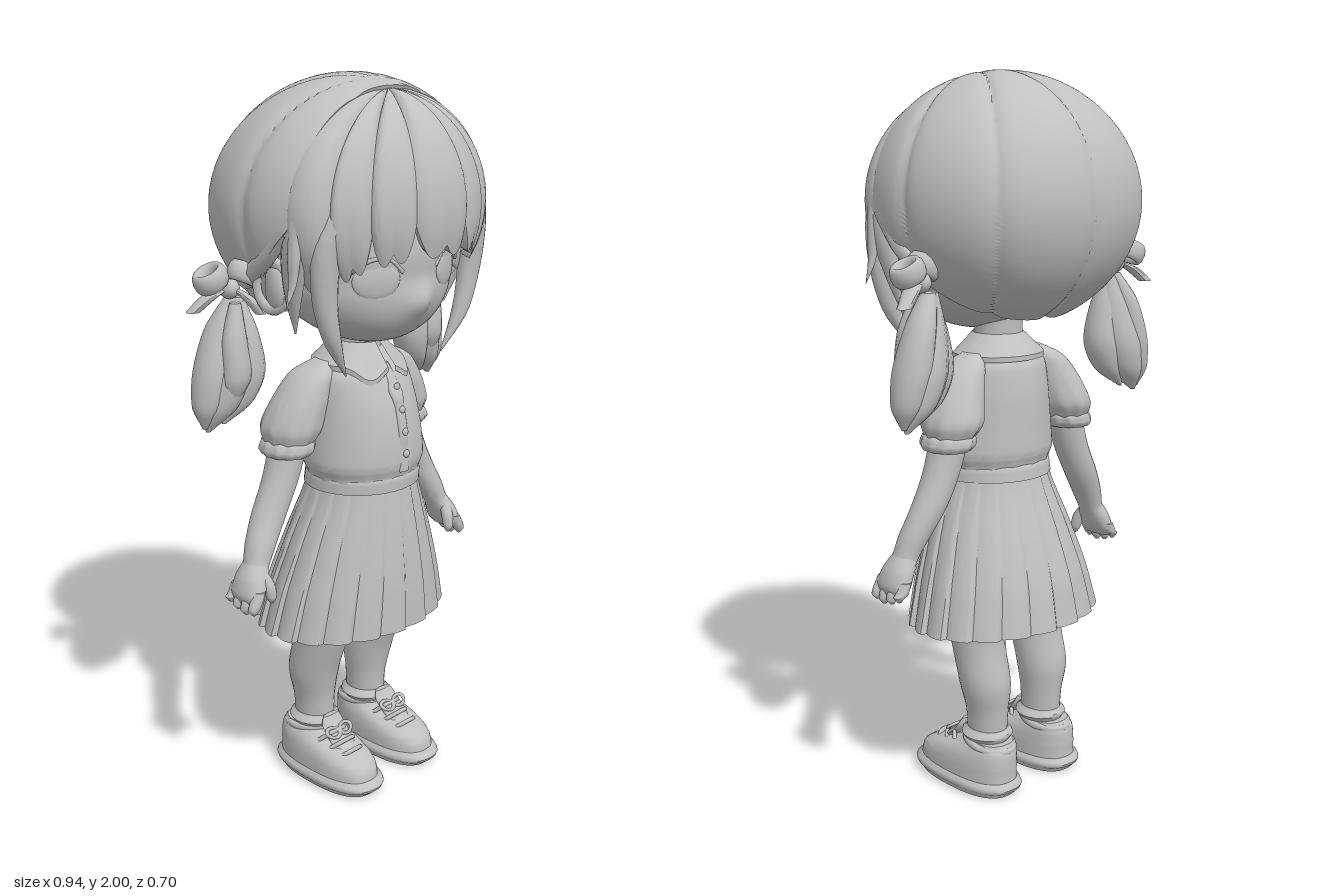
import * as THREE from 'three';
import { mergeVertices, toCreasedNormals } from 'three/addons/utils/BufferGeometryUtils.js';

const clay = new THREE.MeshStandardMaterial({ color: 0xc0c0c0, side: THREE.DoubleSide });
clay.name = 'clay grey';

const mesh = (name, geo, parent) => {
  const m = new THREE.Mesh(geo, clay);
  m.name = name;
  parent.add(m);
  return m;
};

// Surface from a rule (u, v) -> [x, y, z]
function grid(nu, nv, fn, crease = 0.8) {
  const pos = [], idx = [];
  for (let j = 0; j <= nv; j++) for (let i = 0; i <= nu; i++) pos.push(...fn(i / nu, j / nv));
  for (let j = 0; j < nv; j++) for (let i = 0; i < nu; i++) {
    const a = j * (nu + 1) + i, b = a + nu + 1;
    idx.push(a, b, a + 1, a + 1, b, b + 1);
  }
  const g = new THREE.BufferGeometry();
  g.setAttribute('position', new THREE.Float32BufferAttribute(pos, 3));
  g.setIndex(idx);
  return toCreasedNormals(mergeVertices(g, 1e-5), crease);
}

// Level oval rings [x, y, z, rx, rz] listed from top to bottom, smoothed and capped
function loft(st, { seg = 20, rows = 18, mod = () => 1, cap = true } = {}) {
  const c = new THREE.CatmullRomCurve3(st.map(s => new THREE.Vector3(s[0], s[1], s[2])));
  const r = new THREE.CatmullRomCurve3(st.map(s => new THREE.Vector3(s[3], s[4], 0)));
  return grid(seg, rows + 2, (u, v) => {
    const j = Math.round(v * (rows + 2)) - 1;
    const t = Math.min(1, Math.max(0, j / rows)), a = u * Math.PI * 2;
    const p = c.getPoint(t), q = r.getPoint(t);
    const k = cap && (j < 0 || j > rows) ? 0 : mod(a, t);
    return [p.x + Math.max(0, q.x) * k * Math.sin(a), p.y, p.z + Math.max(0, q.y) * k * Math.cos(a)];
  });
}

function ball(name, parent, [x, y, z], [a, b, c], ry = 0) {
  const m = mesh(name, new THREE.SphereGeometry(1, 20, 14), parent);
  m.position.set(x, y, z);
  m.scale.set(a, b, c);
  m.rotation.y = ry;
  return m;
}

const tube = (name, parent, pts, r) => mesh(name, new THREE.TubeGeometry(
  new THREE.CatmullRomCurve3(pts.map(p => new THREE.Vector3(...p))), 16, r, 6), parent);

// Fringe locks: angles at which neighbouring locks meet
const partings = [-1.72, -1.15, -0.74, -0.3, 0.3, 0.74, 1.15, 1.72];

function addHead(g) {
  // Face with a forward chin and a small nose
  mesh('face', grid(64, 48, (u, v) => {
    const a = u * Math.PI * 2, t = v * Math.PI;
    const x = 0.29 * Math.sin(t) * Math.sin(a), y = 1.555 + 0.245 * Math.cos(t);
    let z = 0.02 + 0.235 * Math.sin(t) * Math.cos(a);
    z += 0.07 * Math.min(1, Math.max(0, (1.5 - y) / 0.18));
    if (z > 0) z += 0.024 * Math.exp(-((x / 0.04) ** 2) - ((y - 1.435) / 0.04) ** 2);
    return [x, y, z];
  }), g);
  mesh('neck', loft([[0, 1.4, 0.02, 0.075, 0.07], [0, 1.32, 0.02, 0.068, 0.065], [0, 1.24, 0.02, 0.075, 0.07]]), g);

  // Back hair, full at the rear corners, grooved from the crown and cut along the hairline
  mesh('backHair', grid(180, 72, (u, v) => {
    const psi = u * Math.PI * 2, c = Math.cos(psi);
    const hairline = c > 0 ? 0.14 : 0.14 + 0.3 * c;
    const th = Math.min(1, v * 73 / 72) * Math.acos(-hairline / 0.35);
    const x = 0.37 * Math.sin(th) * Math.sin(psi), y = 0.34 * Math.sin(th) * c, z = -0.35 * Math.cos(th);
    const d = Math.hypot(x, z - 0.1), a = Math.atan2(x, z - 0.1);
    const groove = (1 - Math.abs(Math.sin(a * 5))) ** 3.5 * Math.min(1, d / 0.2);
    const full = z < 0 ? 0.65 * (x * z / 0.1295) ** 2 : 0;
    const k = v === 1 ? 0.8 : 1.006 - 0.032 * groove + 0.25 * full;
    return [x * k, 1.66 + y * k, z * k];
  }), g);

  // Fringe of broad rounded locks with a jagged hem
  mesh('fringe', grid(196, 30, (u, v) => {
    const i = Math.min(6, Math.floor(u * 7)), f = u * 7 - i;
    const a = partings[i] + (partings[i + 1] - partings[i]) * f;
    const w = Math.sin(f * Math.PI), split = Math.abs(Math.sin(f * Math.PI * 2));
    const side = Math.min(1, Math.abs(a) / 1.5) ** 2;
    const end = 1.6 + 0.46 * side + 0.2 * w ** 0.7 + 0.14 * split;
    const phi = Math.min(1, v * 30 / 29) * end;
    const k = v === 1 ? 0.82 : (0.965 + 0.055 * (1 - (1 - w) ** 2.5) - 0.035 * v ** 6) * (1 - 0.09 * Math.sin(2 * a) ** 2 * Math.sin(phi));
    return [0.342 * k * Math.sin(phi) * Math.sin(a), 1.66 + 0.3 * k * Math.cos(phi),
      0.13 + 0.217 * k * Math.sin(phi) * Math.cos(a)];
  }), g);
}

function addHeadSide(g) {
  // Eye, lid and brow
  ball('eye', g, [0.13, 1.505, 0.218], [0.066, 0.052, 0.013], 0.42);
  tube('upperLid', g, [[0.062, 1.52, 0.246], [0.1, 1.555, 0.238], [0.15, 1.558, 0.221], [0.195, 1.53, 0.196], [0.21, 1.515, 0.186]], 0.006);
  tube('brow', g, [[0.08, 1.602, 0.241], [0.13, 1.615, 0.224], [0.18, 1.6, 0.197]], 0.005);
  // Ear
  ball('ear', g, [0.295, 1.485, 0.03], [0.03, 0.07, 0.048], 0.4);
  const rim = mesh('earRim', new THREE.TorusGeometry(0.045, 0.012, 8, 24), g);
  rim.position.set(0.312, 1.49, 0.03);
  rim.rotation.y = 1.25;
  rim.scale.y = 1.35;
  // Locks framing the face
  const locks = [
    [[0.2, 1.78, 0.235, 0.02, 0.02], [0.268, 1.62, 0.195, 0.045, 0.034], [0.275, 1.48, 0.182, 0.038, 0.028], [0.245, 1.36, 0.178, 0.026, 0.022], [0.185, 1.255, 0.165, 0.002, 0.002]],
    [[0.32, 1.72, 0.14, 0.02, 0.03], [0.318, 1.58, 0.12, 0.028, 0.04], [0.305, 1.47, 0.1, 0.018, 0.026], [0.285, 1.37, 0.085, 0.002, 0.002]],
    [[0.325, 1.7, 0.14, 0.02, 0.02], [0.338, 1.58, 0.14, 0.016, 0.018], [0.345, 1.51, 0.14, 0.009, 0.012], [0.365, 1.455, 0.14, 0.001, 0.001]],
  ];
  locks.forEach(l => mesh('faceLock', loft(l, { seg: 12 }), g));
  // Hair drawn back to the tie
  tube('sweptStrand', g, [[0.335, 1.64, 0.1], [0.338, 1.56, 0.03], [0.325, 1.49, -0.06]], 0.024);
  // Bunch
  const bunch = [
    [[0.335, 1.45, -0.085, 0.02, 0.02], [0.35, 1.36, -0.085, 0.05, 0.05], [0.37, 1.25, -0.09, 0.066, 0.068], [0.395, 1.165, -0.095, 0.054, 0.053], [0.43, 1.1, -0.1, 0.006, 0.006]],
    [[0.345, 1.45, -0.09, 0.02, 0.02], [0.38, 1.37, -0.1, 0.038, 0.045], [0.41, 1.26, -0.1, 0.048, 0.056], [0.43, 1.17, -0.1, 0.04, 0.043], [0.44, 1.11, -0.1, 0.006, 0.006]],
    [[0.335, 1.44, -0.08, 0.02, 0.02], [0.325, 1.35, -0.075, 0.042, 0.045], [0.322, 1.25, -0.075, 0.055, 0.056], [0.342, 1.17, -0.08, 0.04, 0.04], [0.385, 1.115, -0.09, 0.005, 0.005]],
    [[0.36, 1.44, -0.06, 0.015, 0.015], [0.375, 1.35, -0.05, 0.034, 0.03], [0.375, 1.25, -0.045, 0.042, 0.034], [0.385, 1.16, -0.06, 0.004, 0.004]],
  ];
  bunch.forEach(l => mesh('bunchLock', loft(l, { seg: 14 }), g));
  // Bow: plump loops open upward, with two tails
  ball('bowKnot', g, [0.362, 1.475, -0.08], [0.026, 0.027, 0.03]);
  for (const [x, y, z, tilt] of [[0.412, 1.505, -0.092, -0.45], [0.33, 1.512, -0.055, 0.45]]) {
    const loop = mesh('bowLoop', new THREE.TorusGeometry(0.031, 0.012, 10, 24), g);
    loop.position.set(x, y, z);
    loop.rotation.set(Math.PI / 2, tilt, 0);
    loop.scale.set(1.15, 1, 2.3);
  }
  mesh('bowTail', loft([[0.365, 1.48, -0.08, 0.01, 0.012], [0.41, 1.458, -0.1, 0.02, 0.024], [0.45, 1.42, -0.12, 0.02, 0.018]], { seg: 10, rows: 8 }), g);
  mesh('bowTail', loft([[0.36, 1.48, -0.07, 0.01, 0.012], [0.335, 1.45, -0.035, 0.016, 0.02], [0.31, 1.41, -0.02, 0.014, 0.016]], { seg: 10, rows: 8 }), g);
}

function addClothes(g) {
  // Blouse with a gathered hem
  mesh('blouse', loft([[0, 1.29, 0.02, 0.06, 0.06], [0, 1.265, 0.02, 0.095, 0.08], [0, 1.22, 0.028, 0.145, 0.122], [0, 1.14, 0.038, 0.158, 0.146],
    [0, 1.05, 0.045, 0.17, 0.157], [0, 0.98, 0.046, 0.177, 0.16], [0, 0.945, 0.046, 0.166, 0.15], [0, 0.925, 0.046, 0.162, 0.15]],
  { seg: 96, rows: 36, mod: (a, t) => 1 + 0.015 * Math.sin(a * 16) * Math.max(0, t - 0.7) * 3 }), g);
  mesh('placket', loft([[0, 1.25, 0.125, 0.014, 0.008], [0, 1.2, 0.157, 0.017, 0.008], [0, 1.14, 0.182, 0.017, 0.008],
    [0, 1.05, 0.2, 0.017, 0.007], [0, 0.96, 0.203, 0.017, 0.007]]), g);
  [[1.19, 0.17], [1.13, 0.191], [1.07, 0.203], [1.01, 0.209]].forEach(([y, z]) => ball('button', g, [0.003, y, z], [0.011, 0.011, 0.006]));

  // Pleated skirt with broad pleats, open below
  const pleat = a => { const f = (a * 20 / (Math.PI * 2)) % 1; return f < 0.88 ? Math.sin((0.25 + f / 0.88 * 0.75) * Math.PI / 2) : 1 - 0.62 * (f - 0.88) / 0.12; };
  mesh('skirt', loft([[0, 0.95, 0.045, 0.152, 0.142], [0, 0.88, 0.04, 0.172, 0.156], [0, 0.76, 0.026, 0.22, 0.185],
    [0, 0.62, 0.01, 0.27, 0.213], [0, 0.495, 0, 0.305, 0.226]],
  { seg: 320, rows: 14, cap: false, mod: (a, t) => 0.99 + (0.02 + 0.06 * t) * (pleat(a) - 0.8) }), g);
  mesh('waistband', loft([[0, 0.955, 0.045, 0.15, 0.14], [0, 0.94, 0.045, 0.165, 0.154], [0, 0.905, 0.042, 0.168, 0.156]], { seg: 40, rows: 6 }), g);
  mesh('shortsTop', loft([[0, 0.92, 0.03, 0.14, 0.12], [0, 0.78, 0.01, 0.175, 0.13], [0, 0.66, 0, 0.17, 0.12], [0, 0.62, 0, 0.12, 0.09]], { seg: 32 }), g);
}

function addBodySide(g) {
  // Collar flap, pointed at the front
  mesh('collar', grid(40, 8, (u, v) => {
    const a = 0.1 + u * (Math.PI - 0.1), tip = Math.exp(-(((a - 0.5) / 0.3) ** 2));
    const q = Math.min(1, v * 8 / 7), r = q * (1 + 0.25 * tip);
    return [(0.07 + 0.06 * r) * Math.sin(a), 1.305 - 0.055 * r - 0.02 * q * tip - (v === 1 ? 0.014 : 0),
      0.02 + (0.072 + 0.052 * r + 0.008 * Math.cos(a)) * Math.cos(a)];
  }, 0.6), g);

  // Puffed sleeve and gathered cuff
  mesh('sleeve', loft([[0.115, 1.258, 0.005, 0.025, 0.03], [0.15, 1.225, 0, 0.055, 0.065], [0.185, 1.155, -0.01, 0.074, 0.082],
    [0.208, 1.09, -0.02, 0.08, 0.09], [0.22, 1.045, -0.02, 0.062, 0.072]],
  { seg: 60, mod: (a, t) => 1 + 0.06 * Math.sin(a * 10) * Math.max(0, t - 0.45) }), g);
  mesh('cuff', loft([[0.218, 1.06, -0.02, 0.055, 0.065], [0.221, 1.048, -0.02, 0.068, 0.078], [0.226, 1.03, -0.02, 0.07, 0.081],
    [0.23, 1.014, -0.02, 0.06, 0.07]], { seg: 60, rows: 8, mod: a => 1 + 0.03 * Math.sin(a * 12) }), g);

  // Arm and hand
  mesh('arm', loft([[0.215, 1.06, -0.02, 0.052, 0.055], [0.25, 0.95, -0.02, 0.052, 0.05], [0.295, 0.86, -0.018, 0.052, 0.046],
    [0.335, 0.79, -0.008, 0.046, 0.042], [0.362, 0.735, 0, 0.036, 0.038], [0.375, 0.71, 0.002, 0.034, 0.042]]), g);
  mesh('palm', loft([[0.362, 0.745, 0, 0.032, 0.034], [0.382, 0.705, 0.004, 0.037, 0.052], [0.398, 0.665, 0.006, 0.032, 0.06], [0.406, 0.64, 0.006, 0.018, 0.05]]), g);
  for (let i = 0; i < 4; i++) {
    const z = 0.052 - i * 0.031, y = 0.612 + (i === 3 ? 0.018 : Math.abs(i - 1) * 0.006);
    mesh('finger', loft([[0.396, 0.68, z, 0.016, 0.016], [0.411, 0.648, z, 0.019, 0.017], [0.418, y + 0.014, z, 0.017, 0.015], [0.418, y, z, 0.005, 0.005]], { seg: 12, rows: 10 }), g);
  }
  mesh('thumb', loft([[0.372, 0.725, 0.03, 0.016, 0.016], [0.364, 0.69, 0.05, 0.018, 0.018], [0.36, 0.655, 0.058, 0.015, 0.015], [0.36, 0.638, 0.058, 0.004, 0.004]], { seg: 12, rows: 10 }), g);

  // Leg, shorts leg and sock
  mesh('leg', loft([[0.1, 0.72, 0.005, 0.085, 0.1], [0.108, 0.52, 0.003, 0.077, 0.098], [0.112, 0.42, -0.015, 0.07, 0.085],
    [0.113, 0.32, -0.042, 0.07, 0.078], [0.108, 0.23, -0.046, 0.056, 0.064], [0.107, 0.14, -0.045, 0.052, 0.06]], { seg: 28 }), g);
  mesh('shortsLeg', loft([[0.088, 0.72, 0.005, 0.088, 0.11], [0.1, 0.6, 0.004, 0.093, 0.115], [0.103, 0.565, 0.004, 0.09, 0.112]], { seg: 28 }), g);
  mesh('shortsHem', loft([[0.103, 0.58, 0.004, 0.09, 0.112], [0.103, 0.568, 0.004, 0.098, 0.12], [0.103, 0.55, 0.004, 0.09, 0.112]], { seg: 28, rows: 8 }), g);
  mesh('sock', loft([[0.107, 0.186, -0.045, 0.052, 0.06], [0.107, 0.176, -0.045, 0.058, 0.066], [0.108, 0.15, -0.045, 0.058, 0.066], [0.109, 0.12, -0.045, 0.055, 0.065]], { seg: 24, rows: 10 }), g);

  // Shoe: boxy upper and sole, collar, tongue and laces
  const boxy = a => 1 / (Math.abs(Math.cos(a)) ** 2.5 + Math.abs(Math.sin(a)) ** 2.5) ** (1 / 2.5);
  mesh('shoeUpper', loft([[0.112, 0.15, -0.06, 0.055, 0.07], [0.114, 0.13, -0.045, 0.067, 0.098], [0.116, 0.105, -0.005, 0.077, 0.142],
    [0.117, 0.075, 0.02, 0.082, 0.168], [0.118, 0.03, 0.026, 0.083, 0.174]], { seg: 40, mod: boxy }), g);
  mesh('sole', loft([[0.118, 0.044, 0.026, 0.082, 0.172], [0.118, 0.04, 0.027, 0.085, 0.176], [0.118, 0.01, 0.027, 0.085, 0.176], [0.118, 0, 0.026, 0.082, 0.17]], { seg: 40, rows: 12, mod: boxy }), g);
  const rim = mesh('shoeCollar', new THREE.TorusGeometry(0.058, 0.011, 8, 28), g);
  rim.position.set(0.112, 0.14, -0.06);
  rim.rotation.x = Math.PI / 2 - 0.12;
  rim.scale.y = 1.25;
  mesh('tongue', loft([[0.11, 0.188, 0.025, 0.03, 0.008], [0.112, 0.165, 0.035, 0.04, 0.014], [0.114, 0.13, 0.07, 0.04, 0.02], [0.116, 0.1, 0.105, 0.03, 0.02]], { seg: 16, rows: 10 }), g);
  [[0.15, 0.052], [0.13, 0.086], [0.111, 0.118]].forEach(([y, z]) =>
    tube('lace', g, [[0.064, y - 0.024, z - 0.02], [0.09, y, z + 0.006], [0.138, y, z + 0.006], [0.166, y - 0.024, z - 0.02]], 0.007));
  for (const s of [-1, 1]) {
    const bow = mesh('laceLoop', new THREE.TorusGeometry(0.016, 0.005, 6, 18), g);
    bow.position.set(0.114 + s * 0.024, 0.152, 0.066);
    bow.rotation.set(-0.9, 0, s * 0.3);
    bow.scale.x = 1.4;
  }
}

export function createModel() {
  const model = new THREE.Group();
  model.name = 'girl';
  addHead(model);
  addClothes(model);
  for (const s of [1, -1]) {
    const side = new THREE.Group();
    side.name = s > 0 ? 'leftSide' : 'rightSide';
    side.scale.x = s;
    addHeadSide(side);
    addBodySide(side);
    model.add(side);
  }
  return model;
}
